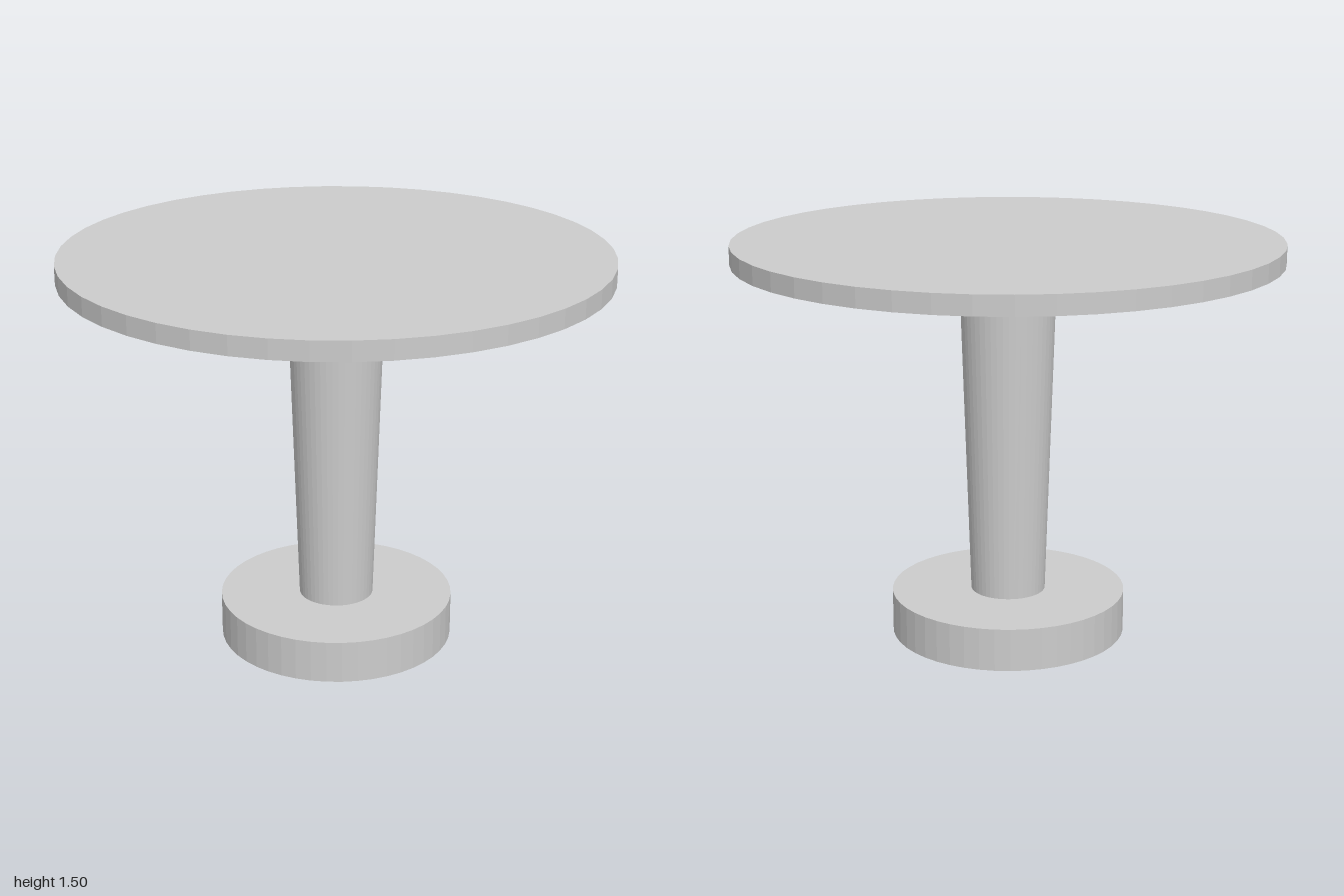
import * as THREE from 'three';

const SIDES = 48;

export function createModel() {
  const table = new THREE.Group();
  table.name = 'pedestalTable';

  const grey = new THREE.MeshStandardMaterial({ color: 0xcccccc, flatShading: true });
  grey.name = 'light grey';

  // Round part standing between two heights
  function addRound(name, bottomRadius, topRadius, y0, y1) {
    const geometry = new THREE.CylinderGeometry(topRadius, bottomRadius, y1 - y0, SIDES);
    const mesh = new THREE.Mesh(geometry, grey);
    mesh.name = name;
    mesh.position.y = (y0 + y1) / 2;
    table.add(mesh);
  }

  addRound('base', 0.44, 0.44, 0, 0.16);
  // Column widens towards the top
  addRound('column', 0.14, 0.18, 0.16, 1.43);
  addRound('tabletop', 1, 1, 1.43, 1.5);

  return table;
}
